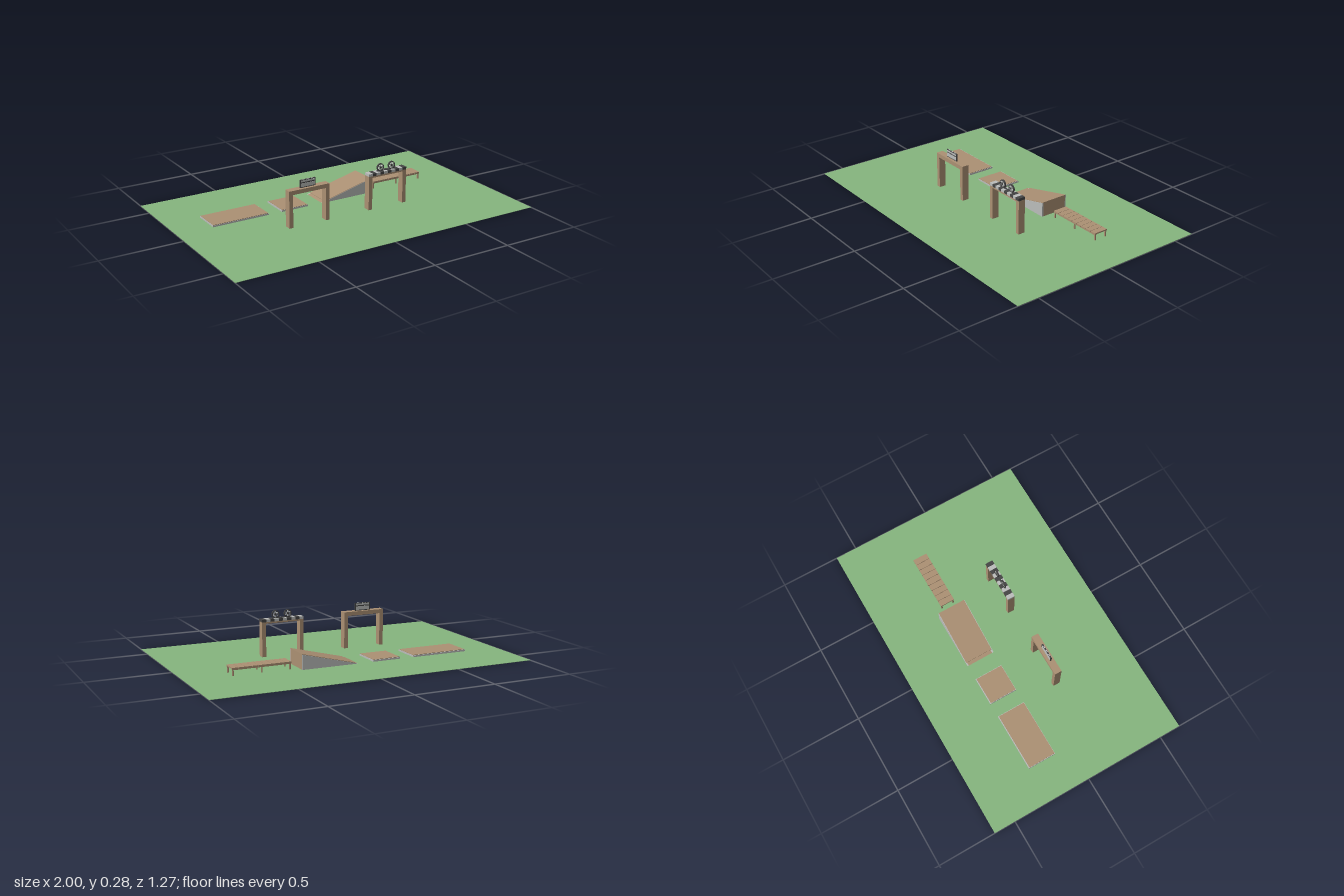
import * as THREE from 'three';

const mat = (name, color) => {
  const m = new THREE.MeshStandardMaterial({ color });
  m.name = name;
  return m;
};

export function createModel() {
  const root = new THREE.Group();
  root.name = 'obstacleCourse';
  const grass = mat('grass green', 0x86b57e);
  const wood = mat('wood brown', 0xab9073);
  const grey = mat('light grey', 0xbbbdbb);
  const dark = mat('charcoal', 0x454545);
  const BASE = 0.001; // everything stands just inside the ground sheet

  const add = (parent, name, geo, material) => {
    const m = new THREE.Mesh(geo, material);
    m.name = name;
    parent.add(m);
    return m;
  };
  const group = (name) => {
    const g = new THREE.Group();
    g.name = name;
    root.add(g);
    return g;
  };
  // box given by its limits on each axis
  const box = (parent, name, material, x0, x1, y0, y1, z0, z1) => {
    const m = add(parent, name, new THREE.BoxGeometry(x1 - x0, y1 - y0, z1 - z0), material);
    m.position.set((x0 + x1) / 2, (y0 + y1) / 2, (z0 + z1) / 2);
    return m;
  };
  // side outline in x/y, extruded between two z limits
  const prism = (parent, name, material, points, z0, z1) => {
    const shape = new THREE.Shape(points.map(([x, y]) => new THREE.Vector2(x, y)));
    const m = add(parent, name, new THREE.ExtrudeGeometry(shape, { depth: z1 - z0, bevelEnabled: false }), material);
    m.position.z = z0;
    return m;
  };

  box(root, 'ground', grass, -1, 1, 0, 0.002, -0.635, 0.635);

  // low platforms with wooden tops
  for (const [name, x0, x1] of [['longPlatform', -0.775, -0.41], ['shortPlatform', -0.32, -0.14]]) {
    const g = group(name);
    box(g, 'platformBase', grey, x0, x1, BASE, 0.012, -0.273, -0.094);
    box(g, 'platformTop', wood, x0 + 0.003, x1 - 0.003, 0.012, 0.0145, -0.268, -0.096);
  }

  // ramp: wooden core and deck between grey cheeks
  const ramp = group('ramp');
  const wedge = [[-0.045, BASE], [0.315, BASE], [0.315, 0.091]];
  prism(ramp, 'rampCore', wood, [[-0.045, BASE], [0.316, BASE], [0.316, 0.092]], -0.265, -0.101);
  prism(ramp, 'rampFrontSide', grey, wedge, -0.101, -0.091);
  prism(ramp, 'rampBackSide', grey, wedge, -0.273, -0.265);
  prism(ramp, 'rampDeck', wood, [[-0.02, 0.0073], [0.316, 0.0913], [0.316, 0.0943], [-0.02, 0.0103]], -0.27, -0.094);

  // slatted bridge on three pairs of legs
  const bridge = group('slattedBridge');
  const slats = 9, pitch = 0.36 / slats;
  for (let i = 0; i < slats; i++) {
    const x = 0.365 + i * pitch;
    box(bridge, 'slat', wood, x + 0.001, x + pitch - 0.001, 0.04, 0.048, -0.23, -0.138);
  }
  for (const z of [-0.227, -0.149]) {
    box(bridge, 'rail', wood, 0.366, 0.724, 0.034, 0.0405, z, z + 0.008);
    for (const x of [0.367, 0.541, 0.714]) box(bridge, 'bridgeLeg', wood, x, x + 0.008, BASE, 0.035, z, z + 0.008);
  }

  // two gates: posts and crossbeam
  const gate = (name, x0, x1, top) => {
    const g = group(name);
    box(g, 'leftPost', wood, x1 - 0.025, x1, BASE, 0.204, 0.114, 0.158);
    box(g, 'rightPost', wood, x0, x0 + 0.025, BASE, 0.204, 0.114, 0.158);
    box(g, 'crossbeam', wood, x0, x1, 0.204, top, 0.114, 0.158);
    return g;
  };

  // first gate carries a small clapper sign
  const signGate = gate('signGate', -0.41, -0.14, 0.229);
  box(signGate, 'signBoard', dark, -0.326, -0.224, 0.229, 0.277, 0.132, 0.14);
  for (const z of [0.1315, 0.1405]) {
    box(signGate, 'signPanel', grey, -0.321, -0.229, 0.234, 0.256, z - 0.0012, z + 0.0012);
    box(signGate, 'signStrip', grey, -0.321, -0.229, 0.263, 0.273, z - 0.0012, z + 0.0012);
  }
  for (let i = 0; i < 3; i++) {
    const x = -0.308 + i * 0.028;
    box(signGate, 'signTopStripe', grey, x, x + 0.013, 0.276, 0.278, 0.133, 0.139);
  }

  // second gate has a striped cap and two spoked reels
  const reelGate = gate('reelGate', 0.135, 0.405, 0.214);
  for (let i = 0; i < 10; i++) {
    const x = 0.135 + i * 0.027;
    box(reelGate, 'capBlock', i % 2 ? dark : grey, x, x + 0.027, 0.214, 0.23, 0.113, 0.159);
  }
  for (const x of [0.23, 0.31]) {
    const reel = new THREE.Group();
    reel.name = 'reel';
    reel.position.set(x, 0.253, 0.136);
    reelGate.add(reel);
    const ring = new THREE.Shape().absarc(0, 0, 0.024, 0, Math.PI * 2);
    ring.holes.push(new THREE.Path().absarc(0, 0, 0.019, 0, Math.PI * 2, true));
    const rim = add(reel, 'reelRim', new THREE.ExtrudeGeometry(ring, { depth: 0.01, bevelEnabled: false, curveSegments: 20 }), dark);
    rim.position.z = -0.005;
    const hub = add(reel, 'reelHub', new THREE.CylinderGeometry(0.007, 0.007, 0.011, 12), dark);
    hub.rotation.x = Math.PI / 2;
    for (let i = 0; i < 3; i++) {
      const spoke = add(reel, 'reelSpoke', new THREE.BoxGeometry(0.04, 0.006, 0.008), grey);
      spoke.rotation.z = (i * Math.PI) / 3 + Math.PI / 6;
    }
  }
  box(reelGate, 'reelStand', dark, 0.206, 0.334, 0.23, 0.233, 0.131, 0.141);

  return root;
}
